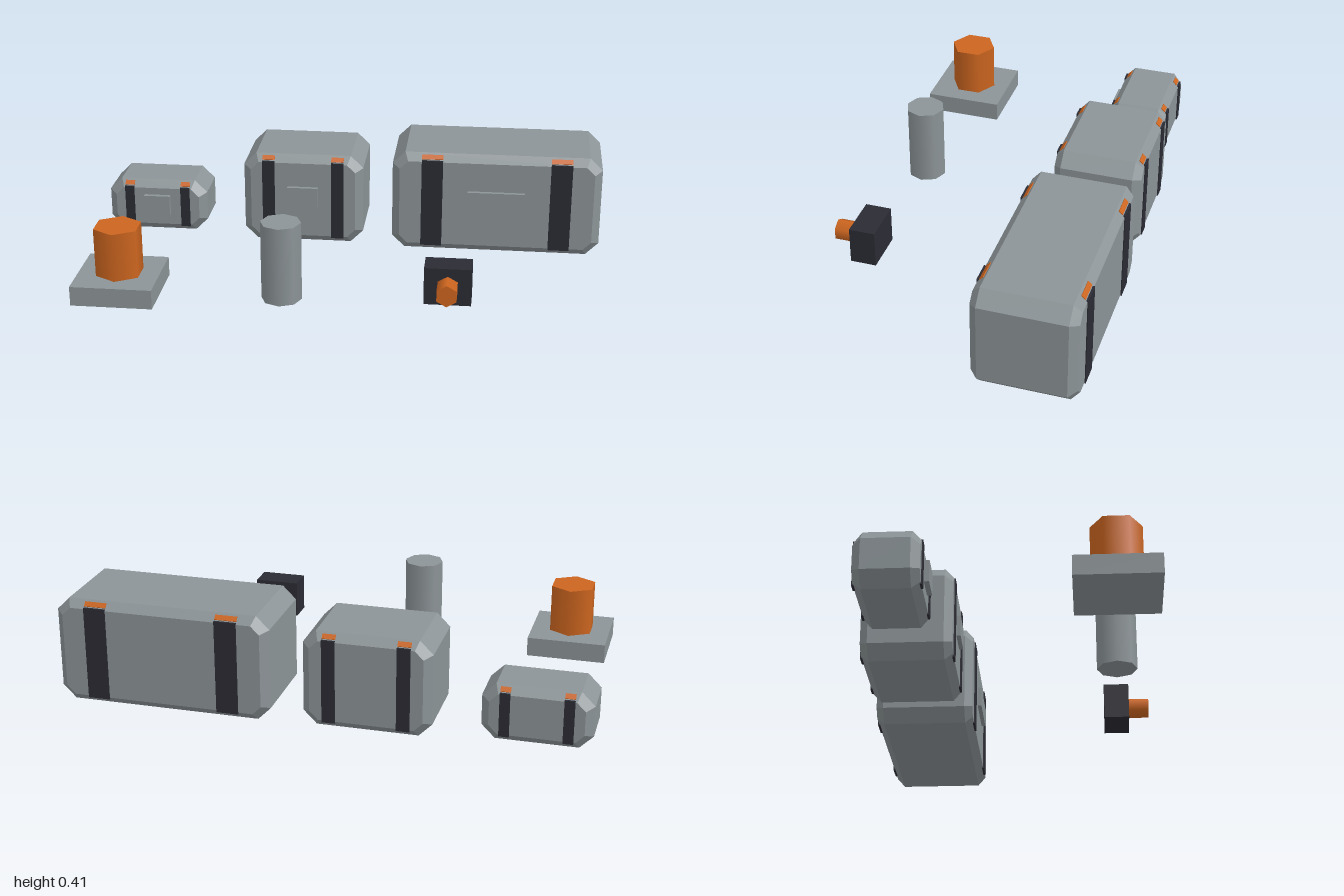
import * as THREE from 'three';

const mat = (name, color) => Object.assign(new THREE.MeshStandardMaterial({ color }), { name });

export function createModel() {
  const grey = mat('metal grey', 0x8c9497);
  const dark = mat('dark strap', 0x2b2b34);
  const orange = mat('orange accent', 0xcc651f);
  const model = new THREE.Group();

  function add(parent, name, geometry, material, x, y, z) {
    const mesh = new THREE.Mesh(geometry, material);
    mesh.name = name;
    mesh.position.set(x, y, z);
    parent.add(mesh);
    return mesh;
  }
  const box = (w, h, d) => new THREE.BoxGeometry(w, h, d);

  // Octagonal profile extruded along z, with bevelled front and back rims
  function crateBody(w, h, d) {
    const c = 0.05, b = 0.03, x = w / 2;
    const shape = new THREE.Shape([
      [-x + c, 0], [x - c, 0], [x, c], [x, h - c],
      [x - c, h], [-x + c, h], [-x, h - c], [-x, c],
    ].map(([px, py]) => new THREE.Vector2(px, py)));
    const g = new THREE.ExtrudeGeometry(shape, {
      depth: d - 2 * b, bevelEnabled: true, bevelSegments: 1,
      bevelThickness: b, bevelSize: b, bevelOffset: -b,
    });
    return g.translate(0, 0, b - d / 2);
  }

  function addCrate(name, { x, z, w, h, d, strapX, strapW, plateW, plateD }) {
    const crate = new THREE.Group();
    crate.name = name;
    crate.position.set(x, 0, z);
    model.add(crate);
    add(crate, 'crateBody', crateBody(w, h, d), grey, 0, 0, 0);
    for (const sx of [-1, 1]) {
      for (const sz of [-1, 1]) {
        // Strap on the face, clip on the upper rim
        add(crate, 'strap', box(strapW, h - 0.048, 0.008), dark, sx * strapX, h / 2, sz * d / 2);
        const clip = add(crate, 'strapClip', box(strapW, 0.006, 0.02), orange,
          sx * strapX, h - 0.015, sz * (d / 2 - 0.015));
        clip.rotation.x = sz * Math.PI / 4;
      }
    }
    add(crate, 'latchPlate', box(plateW, 0.082, plateD), grey, 0, h * 0.54, d / 2 + plateD / 2);
  }

  addCrate('largeCrate', { x: 0.587, z: -0.363, w: 0.826, h: 0.408, d: 0.384,
    strapX: 0.254, strapW: 0.084, plateW: 0.226, plateD: 0.016 });
  addCrate('mediumCrate', { x: -0.187, z: -0.367, w: 0.482, h: 0.37, d: 0.34,
    strapX: 0.139, strapW: 0.05, plateW: 0.124, plateD: 0.016 });
  addCrate('smallCrate', { x: -0.798, z: -0.369, w: 0.404, h: 0.216, d: 0.23,
    strapX: 0.115, strapW: 0.038, plateW: 0.106, plateD: 0.018 });

  // Hexagonal post on a square base
  add(model, 'postBase', box(0.306, 0.075, 0.306), grey, -0.798, 0.071, 0.403);
  add(model, 'hexPost', new THREE.CylinderGeometry(0.092, 0.092, 0.188, 6), orange, -0.798, 0.202, 0.403);

  // Free-standing drum
  add(model, 'drum', new THREE.CylinderGeometry(0.076, 0.076, 0.306, 8), grey, -0.187, 0.186, 0.403);

  // Floating block with a knob on its front
  add(model, 'block', box(0.174, 0.144, 0.1), dark, 0.43, 0.132, 0.405);
  const knob = add(model, 'blockKnob', new THREE.CylinderGeometry(0.042, 0.042, 0.084, 6), orange, 0.43, 0.132, 0.494);
  knob.rotation.x = Math.PI / 2;

  return model;
}
